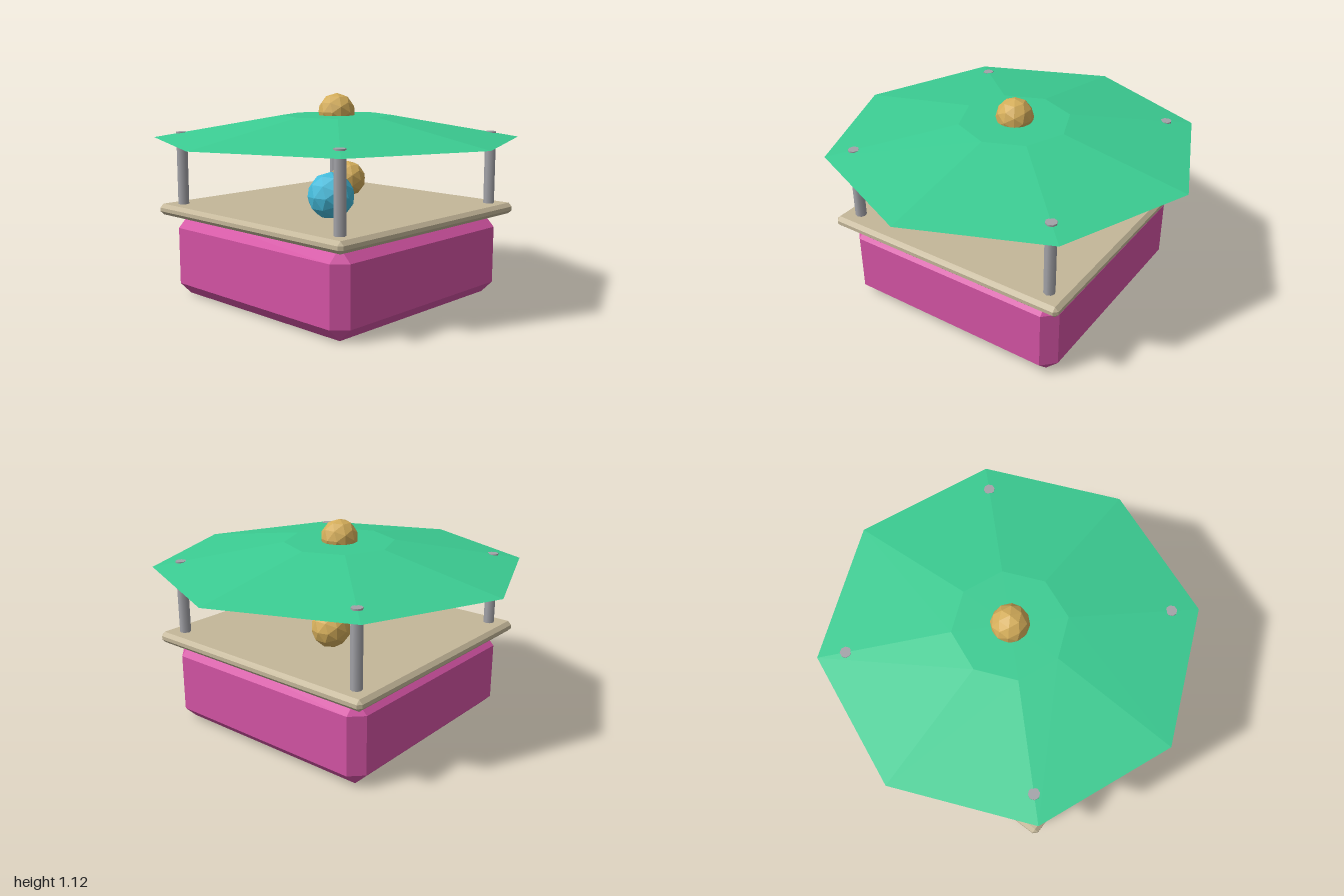
import * as THREE from 'three';
import { ConvexGeometry } from 'three/addons/geometries/ConvexGeometry.js';

// Box with every edge cut at 45 degrees
function chamferBox(w, h, d, c) {
  const pts = [];
  for (const sx of [-1, 1]) for (const sy of [-1, 1]) for (const sz of [-1, 1]) {
    const x = w / 2, y = h / 2, z = d / 2;
    pts.push(
      new THREE.Vector3(sx * x, sy * (y - c), sz * (z - c)),
      new THREE.Vector3(sx * (x - c), sy * y, sz * (z - c)),
      new THREE.Vector3(sx * (x - c), sy * (y - c), sz * z));
  }
  return new ConvexGeometry(pts);
}

function material(name, color, flat = true) {
  const m = new THREE.MeshStandardMaterial({ color });
  m.name = name;
  m.flatShading = flat;
  return m;
}

export function createModel() {
  const group = new THREE.Group();
  const pink = material('pink', 0xd453a4);
  const beige = material('beige', 0xc4b799);
  const green = material('green', 0x3bcc92);
  const grey = material('grey', 0xa3a3a8, false);
  const gold = material('gold', 0xd4ad5a);
  const blue = material('blue', 0x45bbdb);

  const add = (name, geometry, mat, x, y, z) => {
    const mesh = new THREE.Mesh(geometry, mat);
    mesh.name = name;
    mesh.position.set(x, y, z);
    group.add(mesh);
    return mesh;
  };

  // Stall body and counter
  add('base', chamferBox(1.3, 0.45, 1.3, 0.068), pink, 0, 0.225, 0);
  add('counter', chamferBox(1.4, 0.06, 1.4, 0.02), beige, 0, 0.48, 0);

  // Corner posts, just piercing the roof
  const post = new THREE.CylinderGeometry(0.03, 0.03, 0.42, 8);
  for (const sx of [-1, 1]) for (const sz of [-1, 1]) {
    add('post', post, grey, sx * 0.6, 0.7, sz * 0.6);
  }

  // Eight-sided canopy and its finial
  add('roof', new THREE.CylinderGeometry(0.3, 1, 0.12, 8), green, 0, 0.94, 0);
  add('finial', new THREE.IcosahedronGeometry(0.102, 1), gold, 0, 1.018, 0);

  // Goods on the counter
  add('largeBall', new THREE.IcosahedronGeometry(0.122, 1), blue, -0.3, 0.618, 0.25);
  add('smallBall', new THREE.IcosahedronGeometry(0.104, 1), gold, 0.25, 0.607, -0.15);

  return group;
}
